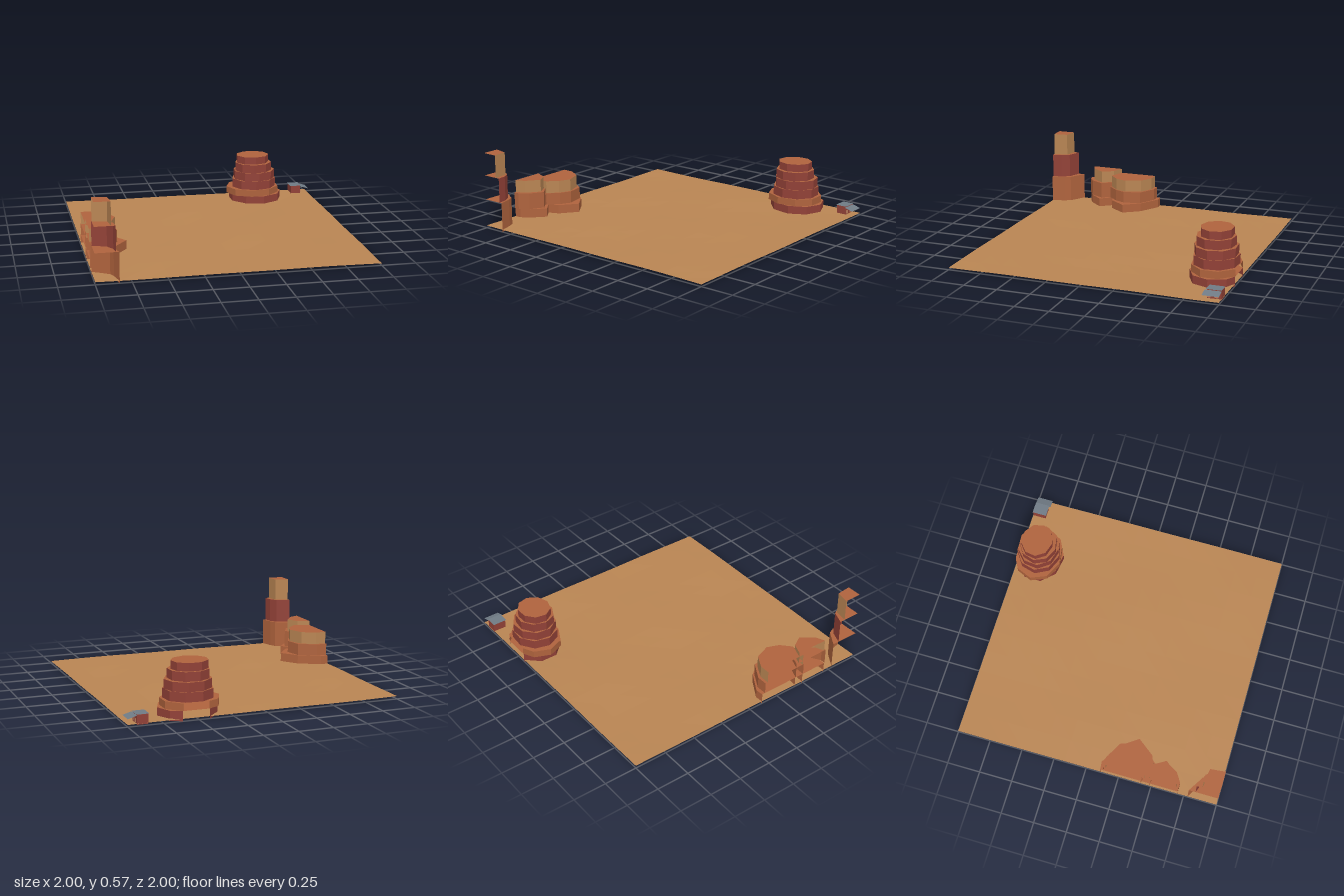
import * as THREE from 'three';

// The rocks are open where the tile is cut, so every colour shows on both sides
const mat = (name, color) =>
  Object.assign(new THREE.MeshStandardMaterial({ color, flatShading: true, side: THREE.DoubleSide }), { name });

// Cut a footprint of [x, z] points along the back edge of the tile (z = -1)
function clipBack(points) {
  const out = [];
  points.forEach((a, i) => {
    const b = points[(i + 1) % points.length];
    if (a[1] >= -1) out.push(a);
    if ((a[1] < -1) !== (b[1] < -1)) {
      const t = (-1 - a[1]) / (b[1] - a[1]);
      out.push([a[0] + t * (b[0] - a[0]), -1]);
    }
  });
  return out;
}

const onEdge = (a, b) => [0, 1].some(k => Math.abs(a[k]) === 1 && a[k] === b[k]);

// One rock layer: outer walls (group 0) and a top (group 1); open where the tile is cut
function layerGeometry(points, y0, y1) {
  const pos = [];
  const tri = (...v) => v.forEach(([p, y]) => pos.push(p[0], y, p[1]));
  points.forEach((a, i) => {
    const b = points[(i + 1) % points.length];
    if (onEdge(a, b)) return;
    tri([a, y0], [a, y1], [b, y1]);
    tri([a, y0], [b, y1], [b, y0]);
  });
  const wallCount = pos.length / 3;
  THREE.ShapeUtils.triangulateShape(points.map(p => new THREE.Vector2(...p)), [])
    .forEach(([i, j, k]) => tri([points[i], y1], [points[k], y1], [points[j], y1]));
  const g = new THREE.BufferGeometry();
  g.setAttribute('position', new THREE.Float32BufferAttribute(pos, 3));
  g.addGroup(0, wallCount, 0);
  g.addGroup(wallCount, pos.length / 3 - wallCount, 1);
  g.computeVertexNormals();
  return g;
}

export function createModel() {
  const model = new THREE.Group();
  const sand = mat('sandstone', 0xb98553);
  const terracotta = mat('terracotta rock', 0xaf633d);
  const red = mat('red rock', 0x924137);
  const slate = mat('slate roof', 0x707b85);
  const pale = mat('pale window', 0xc0805f);

  const add = (parent, name, geometry, material, x = 0, y = 0, z = 0) => {
    const m = new THREE.Mesh(geometry, material);
    m.name = name;
    m.position.set(x, y, z);
    parent.add(m);
    return m;
  };
  const group = name => {
    const g = new THREE.Group();
    g.name = name;
    model.add(g);
    return g;
  };
  const sheet = (w, d, n = 1) => new THREE.PlaneGeometry(w, d, n, n).rotateX(-Math.PI / 2);

  // Gently rolling desert floor
  const floor = sheet(2, 2, 12);
  const p = floor.attributes.position;
  for (let i = 0; i < p.count; i++) {
    const x = p.getX(i), z = p.getZ(i);
    const dip = 0.007 * Math.exp(-((x - 0.8) ** 2 + (z + 0.6) ** 2) * 4);
    p.setY(i, 0.018 + 0.004 * Math.sin(5.3 * x + 2 * z) * Math.cos(4.7 * z - x) - dip);
  }
  floor.computeVertexNormals();
  add(model, 'desertFloor', floor, sand);

  // Round butte: nine-sided layers [centre x, radius x, centre z, radius z, turn, bottom, top, colour]
  const butte = group('roundButte');
  [
    [0.53, 0.213, -0.84, 0.187, 0, 0, 0.07, red],
    [0.507, 0.213, -0.84, 0.184, Math.PI, 0.07, 0.122, terracotta],
    [0.517, 0.178, -0.835, 0.166, 0.25, 0.122, 0.19, red],
    [0.52, 0.168, -0.835, 0.157, 2.9, 0.19, 0.256, red],
    [0.512, 0.148, -0.83, 0.142, 0.3, 0.256, 0.322, red],
    [0.507, 0.132, -0.835, 0.119, 0.15, 0.322, 0.38, red]
  ].forEach(([cx, rx, cz, rz, turn, y0, y1, m], n) => {
    const ring = Array.from({ length: 9 }, (_, i) => {
      const a = turn + i * Math.PI * 2 / 9;
      return [cx + rx * Math.cos(a), cz + rz * Math.sin(a)];
    });
    add(butte, 'butteLayer' + (n + 1), layerGeometry(clipBack(ring), y0, y1), [m, terracotta]);
  });

  // Rocks cut by the tile's side edge: [bottom, top, colour, footprint]
  const rocks = {
    wideRock: [
      [0, 0.083, terracotta, [[-1, 0.11], [-0.94, 0.105], [-0.785, 0.2], [-0.695, 0.325], [-0.79, 0.45], [-0.9, 0.49], [-1, 0.49]]],
      [0.083, 0.172, terracotta, [[-1, 0.135], [-0.92, 0.135], [-0.79, 0.21], [-0.762, 0.34], [-0.8, 0.42], [-0.87, 0.495], [-1, 0.495]]],
      [0.172, 0.264, sand, [[-1, 0.155], [-0.92, 0.155], [-0.82, 0.21], [-0.775, 0.33], [-0.81, 0.42], [-0.88, 0.485], [-1, 0.485]]]
    ],
    narrowRock: [
      [0, 0.083, terracotta, [[-1, 0.42], [-0.93, 0.43], [-0.86, 0.49], [-0.8, 0.565], [-0.885, 0.66], [-0.95, 0.7], [-1, 0.7]]],
      [0.083, 0.205, terracotta, [[-1, 0.425], [-0.91, 0.46], [-0.835, 0.56], [-0.89, 0.66], [-0.96, 0.705], [-1, 0.705]]],
      [0.205, 0.297, sand, [[-1, 0.446], [-0.91, 0.48], [-0.86, 0.565], [-0.93, 0.66], [-1, 0.69]]]
    ],
    cornerSpire: [
      [0, 0.22, terracotta, [[-1, 0.78], [-0.88, 0.855], [-0.86, 0.9], [-0.835, 1], [-1, 1]]],
      [0.22, 0.403, red, [[-1, 0.83], [-0.9, 0.87], [-0.865, 0.93], [-0.855, 1], [-1, 1]]],
      [0.403, 0.572, sand, [[-1, 0.87], [-0.897, 0.89], [-0.885, 1], [-1, 1]]]
    ]
  };
  for (const [name, layers] of Object.entries(rocks)) {
    const rock = group(name);
    layers.forEach(([y0, y1, m, pts], n) =>
      add(rock, name + 'Layer' + (n + 1), layerGeometry(pts, y0, y1), [m, terracotta]));
  }

  // Small hut with a flat roof, sloping awning and two windows
  const hut = group('hut');
  add(hut, 'hutWalls', new THREE.BoxGeometry(0.08, 0.068, 0.1), red, 0.895, 0.042, -0.948);
  add(hut, 'hutRoof', sheet(0.09, 0.11), slate, 0.895, 0.078, -0.945);
  add(hut, 'awning', sheet(0.067, 0.12), slate, 0.967, 0.062, -0.94).rotation.z = -0.28;
  for (const z of [-0.91, -0.965])
    add(hut, 'window', new THREE.BoxGeometry(0.004, 0.026, 0.024), pale, 0.936, 0.033, z);

  return model;
}
